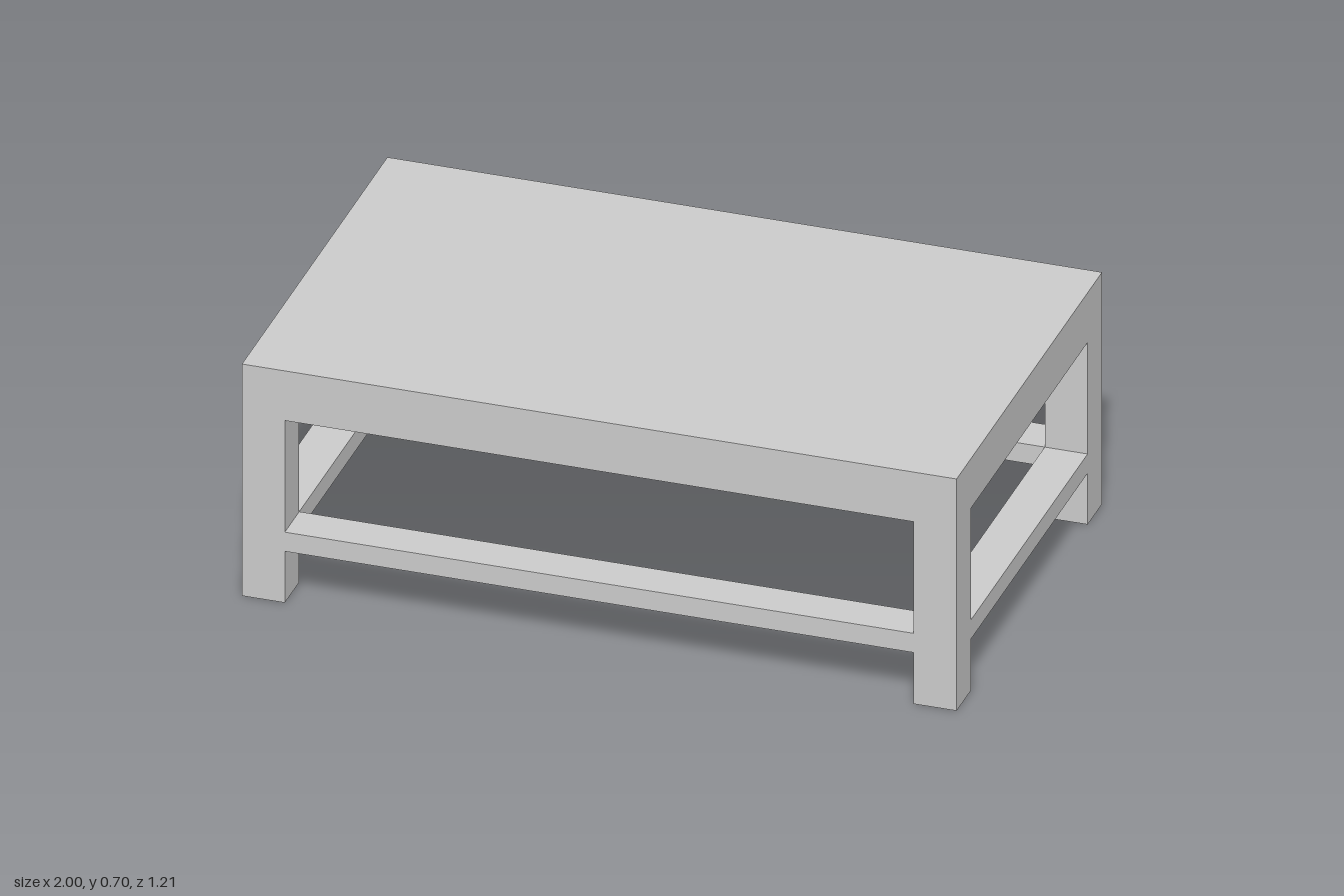
import * as THREE from 'three';

const W = 2, D = 1.21, H = 0.7;      // overall size
const T = 0.12;                      // thickness of legs and rails
const TOP = 0.02;                    // thickness of the table top

const material = new THREE.MeshStandardMaterial({ color: 0xcccccc, flatShading: true });

export function createModel() {
  const group = new THREE.Group();
  group.name = 'coffeeTable';

  // Box given by its centre in x and z and its bottom and top in y
  const addBox = (name, w, d, x, z, y0, y1) => {
    const mesh = new THREE.Mesh(new THREE.BoxGeometry(w, y1 - y0, d), material);
    mesh.name = name;
    mesh.position.set(x, (y0 + y1) / 2, z);
    group.add(mesh);
  };

  const lx = (W - T) / 2, lz = (D - T) / 2;
  const under = H - TOP;

  // Thin top, flush with the frame
  addBox('tableTop', W, D, 0, 0, under, H);

  // Square corner legs
  for (const [sideName, sx] of [['Left', 1], ['Right', -1]]) {
    for (const [endName, sz] of [['front', 1], ['back', -1]]) {
      addBox(`${endName}${sideName}Leg`, T, T, sx * lx, sz * lz, 0, under);
    }
  }

  // Apron under the top and stretchers near the floor, on all four sides
  for (const [part, y0, y1] of [['Apron', 0.55, under], ['Stretcher', 0.155, 0.213]]) {
    addBox(`front${part}`, W - 2 * T, T, 0, lz, y0, y1);
    addBox(`back${part}`, W - 2 * T, T, 0, -lz, y0, y1);
    addBox(`left${part}`, T, D - 2 * T, lx, 0, y0, y1);
    addBox(`right${part}`, T, D - 2 * T, -lx, 0, y0, y1);
  }
  return group;
}
